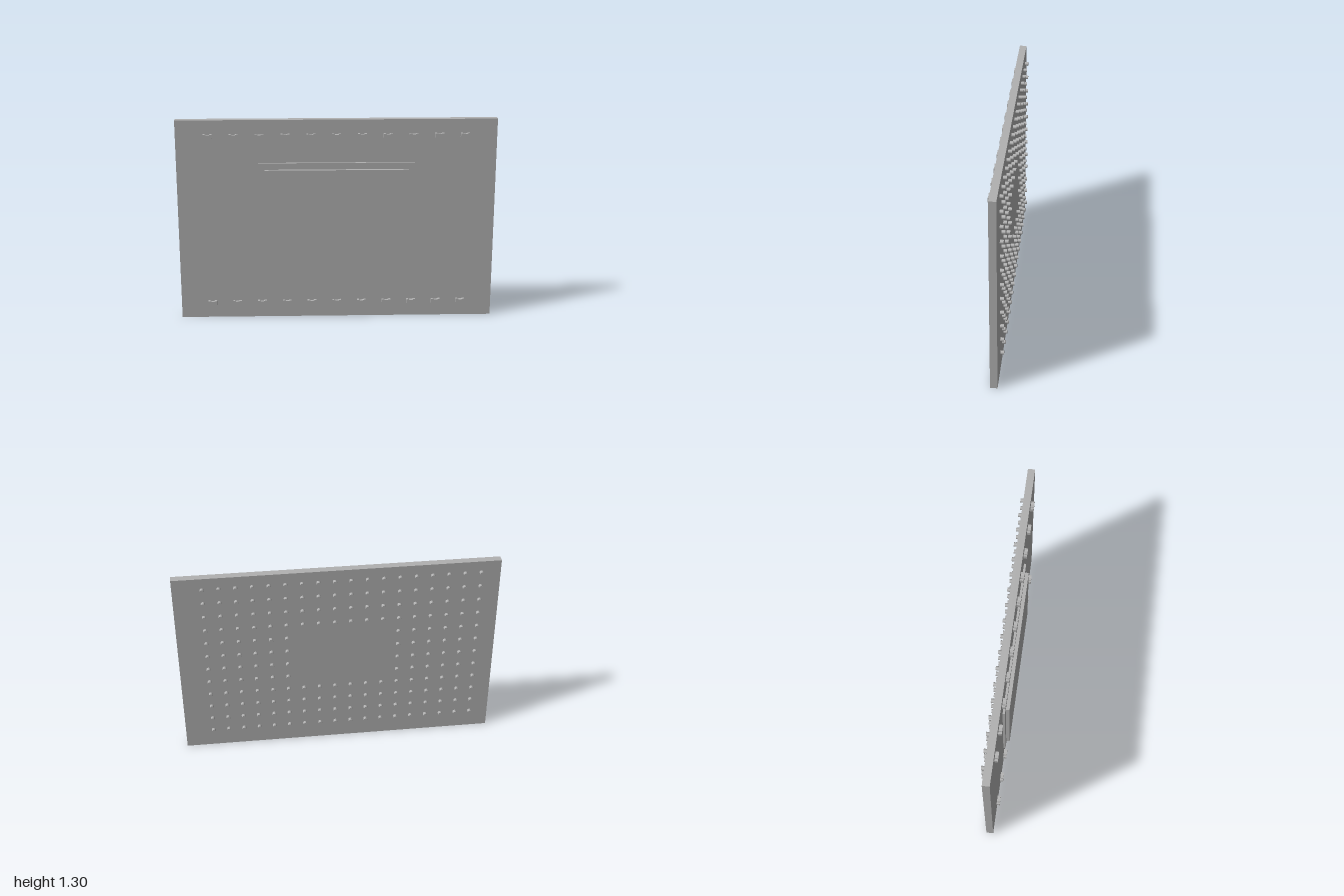
import * as THREE from 'three';

export function createModel() {
  const group = new THREE.Group();
  group.name = 'chipBoard';
  const grey = new THREE.MeshStandardMaterial({ color: 0xb0b0b0 });
  grey.name = 'grey';

  const add = (name, geometry, x, y, z, parent = group) => {
    const mesh = new THREE.Mesh(geometry, grey);
    mesh.name = name;
    mesh.position.set(x, y, z);
    parent.add(mesh);
    return mesh;
  };
  // Flat slab given by its y range and z range
  const slab = (name, width, y0, y1, z0, z1) =>
    add(name, new THREE.BoxGeometry(width, y1 - y0, z1 - z0), 0, (y0 + y1) / 2, (z0 + z1) / 2);

  const front = 0.016, back = -0.029;
  slab('board', 2, 0, 1.303, back, front);
  slab('chipBase', 0.98, 0.277, 1.03, front, 0.03);
  slab('chipLid', 0.9, 0.317, 0.989, 0.03, 0.052);

  // Small pinched components in a row above and below the chip
  const outline = [[-0.028, -0.014], [-0.016, -0.014], [-0.009, -0.009], [0.009, -0.009], [0.016, -0.014], [0.028, -0.014],
    [0.028, 0.014], [0.016, 0.014], [0.009, 0.009], [-0.009, 0.009], [-0.016, 0.014], [-0.028, 0.014]];
  const capacitorGeometry = new THREE.ExtrudeGeometry(
    new THREE.Shape(outline.map(([x, y]) => new THREE.Vector2(x, y))),
    { depth: 0.021, bevelEnabled: false });
  const capacitors = new THREE.Group();
  capacitors.name = 'capacitors';
  group.add(capacitors);
  for (const y of [0.102, 1.202]) {
    for (let i = 0; i < 11; i++) add('capacitor', capacitorGeometry, -0.8 + i * 0.16, y, front, capacitors);
  }

  // Grid of contact pins on the back, with an empty block in the middle
  const pinGeometry = new THREE.CylinderGeometry(0.0125, 0.0125, 0.022, 20).rotateX(Math.PI / 2);
  const pins = new THREE.Group();
  pins.name = 'contactPins';
  group.add(pins);
  for (let col = 0; col < 18; col++) {
    for (let row = 0; row < 12; row++) {
      if (col >= 6 && col <= 11 && row >= 4 && row <= 7) continue;
      add('contactPin', pinGeometry, 0.82 - col * 0.1, 1.226 - row * 0.1, back - 0.011, pins);
    }
  }
  return group;
}
